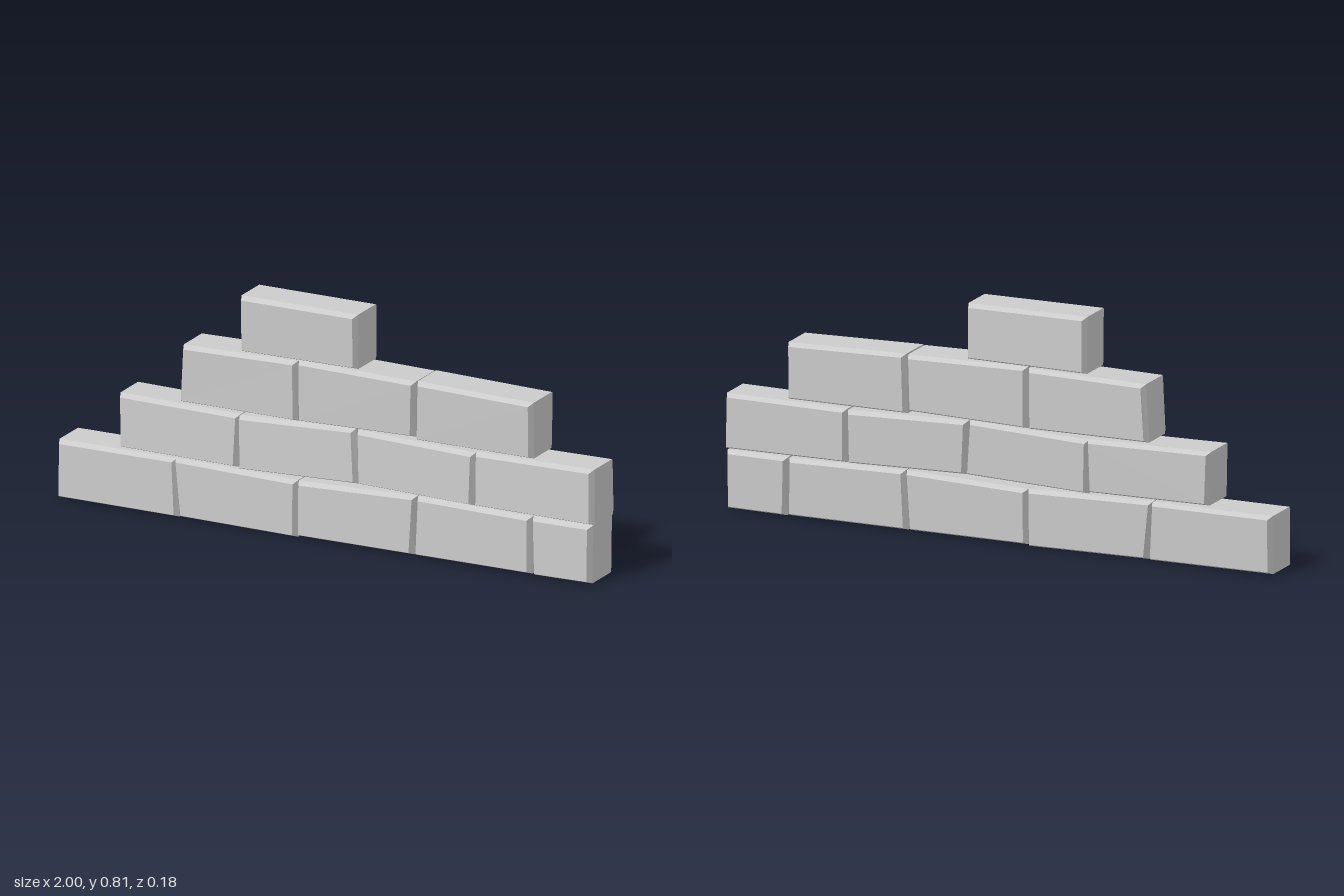
import * as THREE from 'three';

const material = new THREE.MeshStandardMaterial({ color: 0xcccccc, flatShading: true });

// Each brick: bottom-left, bottom-right, top-right, top-left corners as [x, y].
// front / back: z of the large faces at the brick's bottom and top.
const courses = [
  {
    front: [0.093, 0.090], back: [-0.086, -0.090],
    bricks: [
      [[-1, 0.005], [-0.55, 0.003], [-0.56, 0.205], [-1, 0.205]],
      [[-0.545, 0.005], [-0.108, 0], [-0.108, 0.197], [-0.565, 0.207]],
      [[-0.106, 0.005], [0.327, 0.005], [0.337, 0.21], [-0.106, 0.196]],
      [[0.333, 0.005], [0.768, 0.005], [0.766, 0.203], [0.34, 0.21]],
      [[0.776, 0.003], [0.992, 0.005], [0.992, 0.206], [0.77, 0.205]],
    ],
  },
  {
    front: [0.092, 0.084], back: [-0.086, -0.089],
    bricks: [
      [[-0.768, 0.214], [-0.33, 0.21], [-0.325, 0.393], [-0.775, 0.4]],
      [[-0.325, 0.205], [0.118, 0.22], [0.106, 0.408], [-0.33, 0.39]],
      [[0.12, 0.22], [0.55, 0.21], [0.552, 0.392], [0.112, 0.405]],
      [[0.556, 0.211], [1, 0.209], [0.995, 0.4], [0.554, 0.396]],
    ],
  },
  {
    front: [0.086, 0.088], back: [-0.087, -0.09],
    bricks: [
      [[-0.547, 0.405], [-0.11, 0.403], [-0.11, 0.612], [-0.537, 0.605]],
      [[-0.106, 0.404], [0.328, 0.414], [0.332, 0.608], [-0.106, 0.616]],
      [[0.334, 0.405], [0.77, 0.405], [0.77, 0.6], [0.338, 0.61]],
    ],
  },
  {
    front: [0.087, 0.09], back: [-0.087, -0.084],
    bricks: [[[-0.32, 0.615], [0.115, 0.618], [0.115, 0.808], [-0.32, 0.81]]],
  },
];

// A brick as four loops through its depth: the outer two are inset to bevel the rims.
function brickGeometry(corners, front, back) {
  const inset = 0.01, bevel = 0.024;
  const loop = (face, isInset, dz) => corners.map(([x, y], i) => {
    const sx = i === 0 || i === 3 ? 1 : -1;
    const sy = i < 2 ? 1 : -1;
    const d = isInset ? inset : 0;
    return [x + sx * d, y + sy * d, face[i < 2 ? 0 : 1] + dz];
  });
  const loops = [
    loop(back, true, 0), loop(back, false, bevel),
    loop(front, false, -bevel), loop(front, true, 0),
  ];
  const index = [2, 1, 0, 3, 2, 0, 12, 13, 14, 12, 14, 15];
  for (let k = 0; k < 3; k++) {
    for (let i = 0; i < 4; i++) {
      const a = k * 4 + i, b = k * 4 + (i + 1) % 4;
      index.push(a, b, b + 4, a, b + 4, a + 4);
    }
  }
  const indexed = new THREE.BufferGeometry();
  indexed.setAttribute('position', new THREE.Float32BufferAttribute(loops.flat(2), 3));
  indexed.setIndex(index);
  const geometry = indexed.toNonIndexed();
  geometry.computeVertexNormals();
  return geometry;
}

export function createModel() {
  const wall = new THREE.Group();
  wall.name = 'brickWall';
  courses.forEach(({ front, back, bricks }, row) => {
    const course = new THREE.Group();
    course.name = `course${row + 1}`;
    bricks.forEach((corners, i) => {
      const brick = new THREE.Mesh(brickGeometry(corners, front, back), material);
      brick.name = `brick${row + 1}_${i + 1}`;
      course.add(brick);
    });
    wall.add(course);
  });
  return wall;
}
